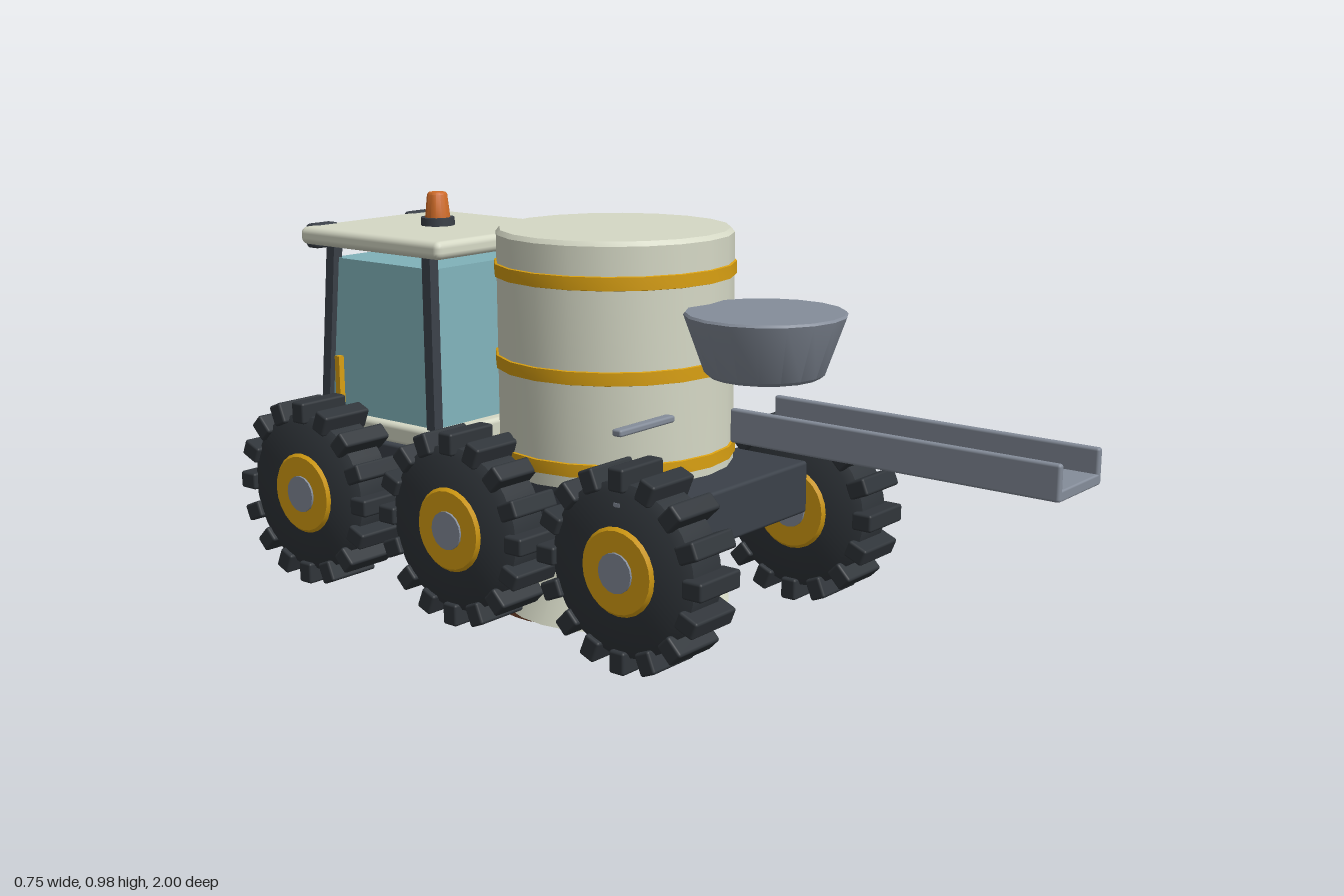
import * as THREE from 'three';
import { toCreasedNormals } from 'three/addons/utils/BufferGeometryUtils.js';
import { RoundedBoxGeometry } from 'three/addons/geometries/RoundedBoxGeometry.js';

const mat = (name, color) => {
  const m = new THREE.MeshStandardMaterial({ color });
  m.name = name;
  return m;
};

export function createModel() {
  const cream = mat('cream paint', 0xd6d9c6);
  const steel = mat('steel', 0x858d9a);
  const dark = mat('dark frame', 0x3b4149);
  const rubber = mat('rubber', 0x30353a);
  const gold = mat('gold', 0xd9a012);
  const glass = mat('glass', 0x80b2ba);
  const orange = mat('orange', 0xd06c28);
  const brown = mat('brown', 0x8a5337);

  const model = new THREE.Group();
  model.name = 'silo truck';

  const add = (name, geo, material, x = 0, y = 0, z = 0, parent = model) => {
    const m = new THREE.Mesh(geo, material);
    m.name = name;
    m.position.set(x, y, z);
    parent.add(m);
    return m;
  };
  // Box with softened edges
  const rbox = (w, h, d, r = 0.008) => new RoundedBoxGeometry(w, h, d, 2, r);
  // Turned solid from [radius, height] points
  const turned = (pts, sides) => toCreasedNormals(
    new THREE.LatheGeometry(pts.map(([r, y]) => new THREE.Vector2(r, y)), sides), 0.6);
  // Box whose upper face is scaled inwards
  const taperedBox = (w, h, d, sx, sz) => {
    const g = new THREE.BoxGeometry(w, h, d).toNonIndexed();
    const p = g.attributes.position;
    for (let i = 0; i < p.count; i++) {
      if (p.getY(i) > 0) p.setXYZ(i, p.getX(i) * sx, p.getY(i), p.getZ(i) * sz);
    }
    g.computeVertexNormals();
    return g;
  };
  // Square bar between two points
  const bar = (name, a, b, t, material, parent) => {
    const va = new THREE.Vector3(...a), vb = new THREE.Vector3(...b);
    const m = add(name, new THREE.BoxGeometry(t, va.distanceTo(vb), t), material, 0, 0, 0, parent);
    m.position.copy(va).add(vb).multiplyScalar(0.5);
    m.quaternion.setFromUnitVectors(new THREE.Vector3(0, 1, 0), vb.sub(va).normalize());
    return m;
  };

  // Chassis and bumper
  add('chassis', rbox(0.476, 0.12, 1.15), dark, 0, 0.36, -0.347);
  add('bumper', rbox(0.476, 0.06, 0.06, 0.016), steel, 0, 0.325, -0.935);

  // Silo with its bands
  const siloZ = -0.132;
  add('silo', turned([[0, 0.41], [0.263, 0.41], [0.263, 0.93], [0.255, 0.94], [0, 0.94]], 20),
    cream, 0, 0, siloZ);
  for (const y of [0.452, 0.652, 0.853]) {
    add('siloBand', turned([[0.26, -0.016], [0.268, -0.014], [0.268, 0.014], [0.26, 0.016]], 20),
      gold, 0, y, siloZ);
  }

  // Spreader skirt and heap underneath
  add('skirt', turned([[0, 0.09], [0.258, 0.09], [0.13, 0.31], [0, 0.31]], 24), cream, 0, 0, siloZ);
  const heap = add('heap', new THREE.SphereGeometry(0.196, 14, 10), brown, 0, 0.102, -0.307);
  heap.scale.y = 0.51;

  // Hopper at the front of the silo
  add('hopper', turned([[0, 0.66], [0.118, 0.66], [0.128, 0.668], [0.172, 0.79], [0.168, 0.795], [0, 0.795]], 18),
    steel, 0, 0, 0.276);

  // Discharge chute: floor and two walls
  const chute = new THREE.Group();
  chute.name = 'chute';
  model.add(chute);
  add('chuteFloor', rbox(0.17, 0.022, 0.75, 0.004), steel, 0, 0.539, 0.625, chute);
  for (const s of [-1, 1]) {
    add('chuteWall', rbox(0.016, 0.073, 0.75, 0.006), steel, s * 0.08, 0.5645, 0.625, chute);
  }

  // Ladder rungs on the right flank
  for (const y of [0.29, 0.44, 0.588]) {
    add('rung', rbox(0.175, 0.015, 0.024, 0.005), steel, -0.277, y, 0.175);
  }

  // Cab
  const cab = new THREE.Group();
  cab.name = 'cab';
  model.add(cab);
  add('cabBase', rbox(0.45, 0.05, 0.43, 0.012), cream, 0, 0.44, -0.685, cab);
  add('cabGlass', taperedBox(0.41, 0.38, 0.36, 0.91, 0.92), glass, 0, 0.64, -0.68, cab);
  add('roof', rbox(0.456, 0.042, 0.465, 0.016), cream, 0, 0.88, -0.685, cab);
  for (const s of [-1, 1]) {
    bar('pillar', [s * 0.205, 0.45, -0.502], [s * 0.188, 0.87, -0.52], 0.026, dark, cab);
    bar('pillar', [s * 0.205, 0.45, -0.862], [s * 0.188, 0.87, -0.838], 0.026, dark, cab);
    bar('doorHandle', [s * 0.218, 0.47, -0.805], [s * 0.218, 0.602, -0.805], 0.015, gold, cab);
    add('lampHousing', rbox(0.076, 0.058, 0.042, 0.01), dark, s * 0.16, 0.875, -0.911, cab);
    add('lampLens', new THREE.BoxGeometry(0.056, 0.04, 0.006), cream, s * 0.16, 0.875, -0.933, cab);
  }
  bar('wiper', [0.06, 0.72, -0.852], [-0.09, 0.49, -0.864], 0.01, dark, cab);
  add('beaconBase', new THREE.CylinderGeometry(0.04, 0.04, 0.02, 16), dark, 0, 0.91, -0.683, cab);
  add('beacon', turned([[0, 0], [0.03, 0], [0.024, 0.055], [0.02, 0.06], [0, 0.06]], 14),
    orange, 0, 0.919, -0.683, cab);

  // Six lugged wheels
  const tireGeo = turned([[0, -0.058], [0.165, -0.058], [0.185, -0.045], [0.185, 0.045], [0.165, 0.058], [0, 0.058]], 32);
  const lugGeo = rbox(0.133, 0.05, 0.04, 0.006);
  const hubGeo = turned([[0, -0.065], [0.088, -0.065], [0.095, -0.058], [0.095, 0.058], [0.088, 0.065], [0, 0.065]], 24);
  const capGeo = new THREE.CylinderGeometry(0.043, 0.043, 0.14, 16);
  for (const s of [-1, 1]) {
    for (const z of [0.177, -0.302, -0.782]) {
      const wheel = new THREE.Group();
      wheel.name = 'wheel';
      wheel.position.set(s * 0.306, 0.3, z);
      model.add(wheel);
      for (const [name, geo, m] of [['tire', tireGeo, rubber], ['hub', hubGeo, gold], ['hubCap', capGeo, steel]]) {
        add(name, geo, m, 0, 0, 0, wheel).rotation.z = Math.PI / 2;
      }
      for (let i = 0; i < 16; i++) {
        const a = (i / 16) * Math.PI * 2;
        const lug = add('lug', lugGeo, rubber, 0, Math.cos(a) * 0.193, Math.sin(a) * 0.193, wheel);
        lug.rotation.x = a;
      }
    }
  }
  return model;
}
